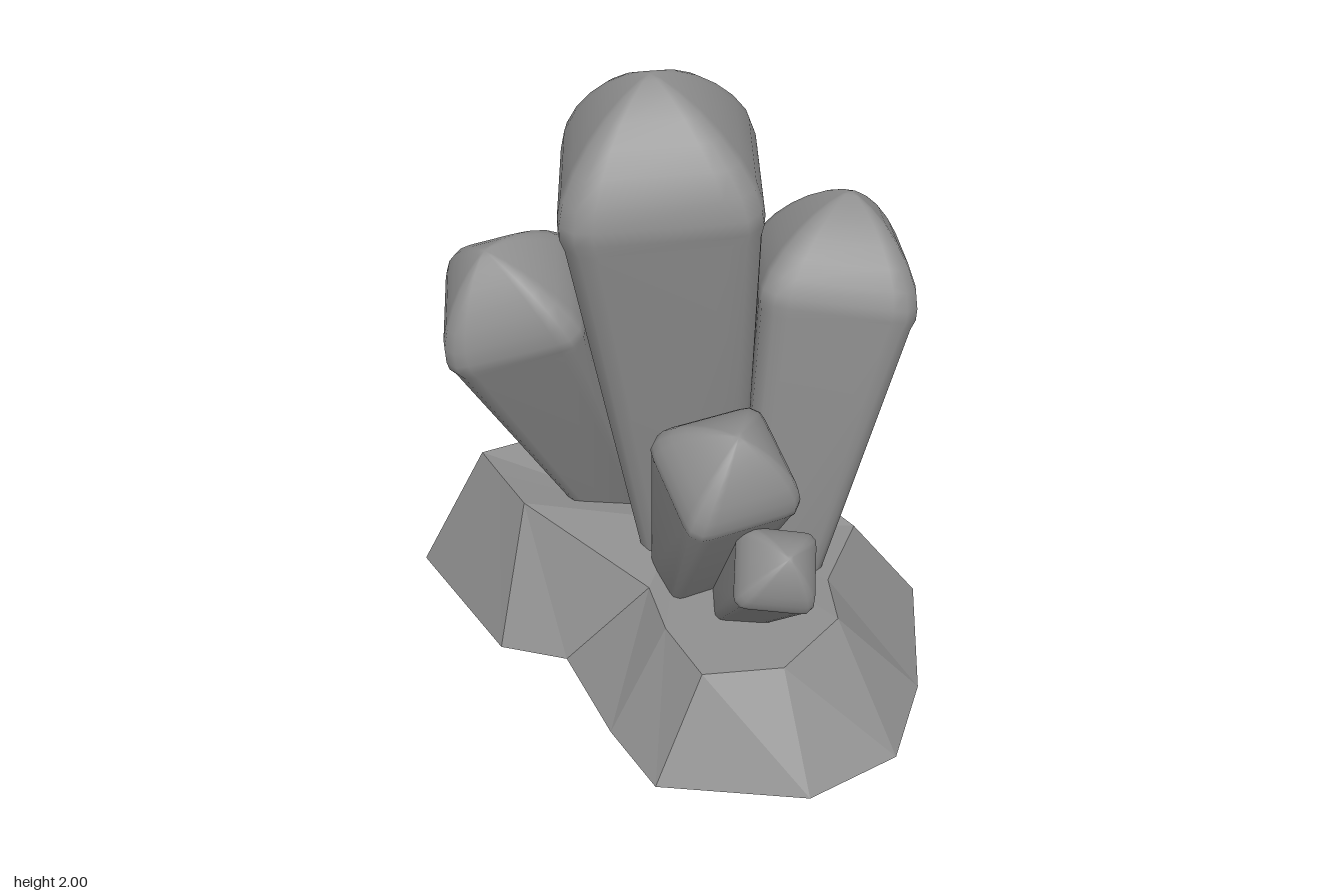
import * as THREE from 'three';

const stone = new THREE.MeshStandardMaterial({ color: 0x8f8f8f });
stone.name = 'stone grey';

// Rounded diamond section of radius 1, counterclockwise seen from above
const corner = [[0.89, -0.19], [0.975, -0.08], [0.975, 0.08], [0.89, 0.19]];
const section = [];
for (let k = 0; k < 4; k++) {
  const c = Math.round(Math.cos(k * Math.PI / 2)), s = Math.round(Math.sin(k * Math.PI / 2));
  for (const [x, y] of corner) section.push([x * c - y * s, -(x * s + y * c)]);
}

// Domed tip: [radius, height above the shoulder], both in shoulder radii
const tip = [[0.975, -0.14], [1.01, -0.03], [1, 0.08], [0.94, 0.25], [0.81, 0.43],
  [0.64, 0.6], [0.46, 0.74], [0.27, 0.85], [0.1, 0.92]];

// Tapered, tilted crystal from its foot to the shoulder below the tip, rolled about its axis
function crystal(name, foot, footRadius, shoulder, radius, tipHeight, roll = 0) {
  const a = new THREE.Vector3(...foot), axis = new THREE.Vector3(...shoulder).sub(a);
  const length = axis.length();
  const rings = [[footRadius, 0], ...tip.map(([r, h]) => [r * radius, length + h * tipHeight])];
  const pos = [], index = [], n = section.length;
  for (const [r, h] of rings) for (const [x, z] of section) pos.push(x * r, h, z * r);
  const last = (rings.length - 1) * n, bottom = rings.length * n, apex = bottom + 1;
  pos.push(0, 0, 0, 0, length + tipHeight * 0.94, 0);
  for (let i = 0; i < n; i++) {
    const j = (i + 1) % n;
    for (let k = 0; k < last; k += n) index.push(k + i, k + j, k + n + j, k + i, k + n + j, k + n + i);
    index.push(last + i, last + j, apex, bottom, j, i);
  }
  const geo = new THREE.BufferGeometry();
  geo.setAttribute('position', new THREE.Float32BufferAttribute(pos, 3));
  geo.setIndex(index);
  geo.computeVertexNormals();
  const mesh = new THREE.Mesh(geo, stone);
  mesh.name = name;
  mesh.position.copy(a);
  mesh.quaternion.setFromUnitVectors(new THREE.Vector3(0, 1, 0), axis.normalize());
  mesh.rotateY(roll);
  return mesh;
}

// Faceted rock: ground outline [x, z] with its matching upper rim [x, y, z]
function rockBase() {
  const rows = [
    [[-0.93, 0.22], [-0.69, 0.475, 0.32]],
    [[-0.87, 0.47], [-0.56, 0.47, 0.355]],
    [[-0.33, 0.59], [-0.39, 0.465, 0.4]],
    [[-0.13, 0.48], [0.08, 0.32, 0.3]],
    [[0.21, 0.61], [0.25, 0.32, 0.4]],
    [[0.47, 0.675], [0.47, 0.32, 0.47]],
    [[0.84, 0.39], [0.63, 0.32, 0.28]],
    [[0.925, 0.08], [0.61, 0.32, 0]],
    [[0.79, -0.21], [0.47, 0.32, -0.12]],
    [[0.49, -0.58], [0.36, 0.32, -0.39]],
    [[0.11, -0.69], [0.1, 0.38, -0.38]],
    [[-0.31, -0.56], [-0.22, 0.49, -0.37]],
    [[-0.69, -0.085], [-0.57, 0.48, 0.03]],
  ];
  const pos = [], top = [-0.05, 0.36, 0.02], under = [0, 0, 0];
  rows.forEach(([[x, z], t], i) => {
    const [[x2, z2], t2] = rows[(i + 1) % rows.length];
    const b = [x, 0, z], b2 = [x2, 0, z2];
    pos.push(...b, ...b2, ...t, ...b2, ...t2, ...t);
    pos.push(...top, ...t, ...t2, ...under, ...b2, ...b);
  });
  const geo = new THREE.BufferGeometry();
  geo.setAttribute('position', new THREE.Float32BufferAttribute(pos, 3));
  geo.computeVertexNormals();
  const mesh = new THREE.Mesh(geo, stone);
  mesh.name = 'rockBase';
  return mesh;
}

export function createModel() {
  const model = new THREE.Group();
  model.name = 'crystalCluster';
  model.add(
    rockBase(),
    crystal('mainCrystal', [-0.04, 0.25, -0.03], 0.205, [-0.035, 1.65, 0.11], 0.375, 0.375),
    crystal('backCrystal', [0.24, 0.25, -0.12], 0.17, [0.255, 1.25, -0.335], 0.31, 0.315),
    crystal('sideCrystal', [-0.31, 0.28, 0.02], 0.15, [-0.485, 1.11, -0.15], 0.275, 0.285),
    crystal('frontCrystal', [-0.33, 0.3, 0.02], 0.135, [-0.335, 1.25, 0.425], 0.275, 0.27),
    crystal('smallCrystal', [0.1, 0.28, 0.14], 0.13, [0.35, 0.88, 0.245], 0.235, 0.23, 0.4),
    crystal('smallestCrystal', [0.27, 0.25, 0.12], 0.095, [0.56, 0.645, 0.255], 0.157, 0.165),
  );
  return model;
}
